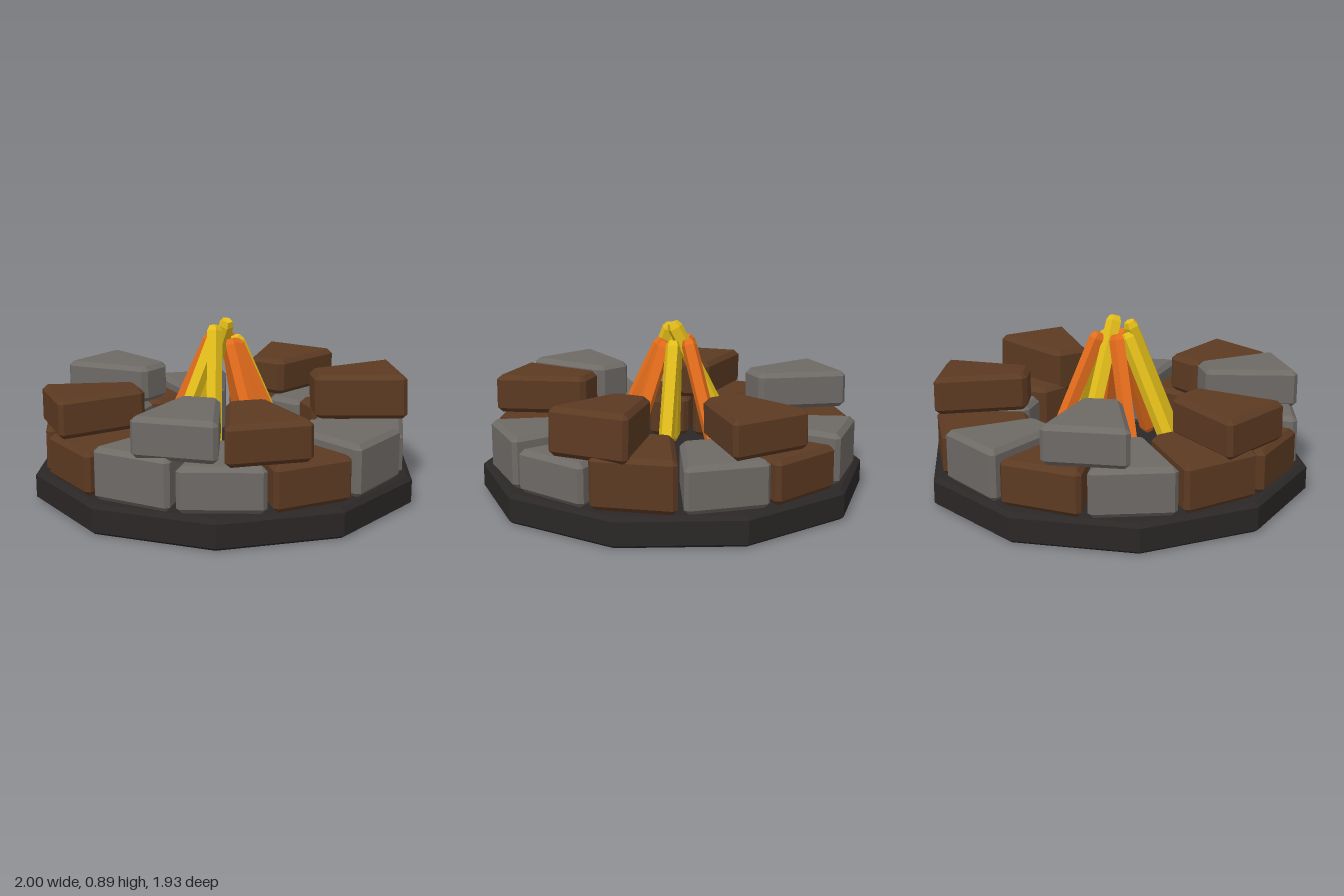
import * as THREE from 'three';

const mat = (color) => new THREE.MeshStandardMaterial({ color, flatShading: true });
const V = (x, y, z) => new THREE.Vector3(x, y, z);

// Faceted solid of revolution from [radius, height] pairs
function facetedLathe(profile, sides, start = 0) {
  const pts = profile.map(([r, y]) => new THREE.Vector2(r, y));
  const geo = new THREE.LatheGeometry(pts, sides, start).toNonIndexed();
  geo.computeVertexNormals();
  return geo;
}

// Chamfered wedge stone facing +z, narrow toward the ring's centre
function stoneGeometry(bottom, top, tilt, roll) {
  const inner = 0.46, outer = 0.925, wi = 0.1, wo = 0.214, mid = 0.69, b = 0.024;
  const corners = [[-wi, -inner], [wi, -inner], [wo, -outer], [-wo, -outer]]
    .map(([x, y]) => new THREE.Vector2(x, y + mid));
  const outline = [];
  corners.forEach((c, i) => {
    // cut each corner
    for (const n of [corners[(i + 3) % 4], corners[(i + 1) % 4]]) {
      outline.push(c.clone().add(n.clone().sub(c).setLength(b)));
    }
  });
  const h = top - bottom;
  const geo = new THREE.ExtrudeGeometry(new THREE.Shape(outline), {
    depth: h - 2 * b, bevelEnabled: true, bevelSegments: 1,
    bevelThickness: b, bevelSize: b, bevelOffset: -b,
  });
  geo.translate(0, 0, b - h / 2);
  geo.rotateX(-Math.PI / 2);
  geo.rotateX(tilt);
  geo.rotateZ(roll);
  geo.translate(0, (bottom + top) / 2, mid);
  return geo;
}

export function createModel() {
  const model = new THREE.Group();
  model.name = 'campfire';
  const grey = mat(0x6e6a66), brown = mat(0x5c3a22);
  const yellow = mat(0xe4be1a), orange = mat(0xe66e1c);

  const add = (parent, name, geo, material) => {
    const mesh = new THREE.Mesh(geo, material);
    mesh.name = name;
    parent.add(mesh);
    return mesh;
  };
  const addGroup = (name) => {
    const g = new THREE.Group();
    g.name = name;
    model.add(g);
    return g;
  };

  // Ten-sided ground slab
  add(model, 'base', facetedLathe(
    [[0, 0], [0.98, 0], [1, 0.015], [1, 0.13], [0.975, 0.15], [0, 0.15]],
    10, THREE.MathUtils.degToRad(-15.3)), mat(0x2b2727));

  // Stone rings: thirteen slots, the upper course shifted by half a slot
  const step = (Math.PI * 2) / 13;
  const addStone = (ring, name, slot, material, bottom, top, tilt = 0, roll = 0) => {
    add(ring, name, stoneGeometry(bottom, top, tilt, roll), material).rotation.y = -slot * step;
  };

  // Lower course: full ring, starting just right of the front
  const lower = addGroup('lowerStones');
  const lowerTops = [0.375, 0.375, 0.41, 0.37, 0.39, 0.39, 0.38, 0.41, 0.37, 0.38, 0.41, 0.365, 0.41];
  const lowerBrown = [0, 3, 4, 6, 8, 10];
  lowerTops.forEach((top, i) => {
    addStone(lower, 'lowerStone', i - 0.5, lowerBrown.includes(i) ? brown : grey, 0.15, top);
  });

  // Upper course: six stones with gaps between
  const upper = addGroup('upperStones');
  [
    [0, brown, 0.375, 0.575, 0, 0.01],
    [1, grey, 0.39, 0.59, 0, 0],
    [3, brown, 0.375, 0.575, 0, 0.02],
    [5, grey, 0.39, 0.585, 0, 0],
    [8, brown, 0.395, 0.59, 0, 0.02],
    [10, brown, 0.37, 0.605, -0.04, 0],
  ].forEach(([slot, m, y0, y1, tilt, roll]) => addStone(upper, 'upperStone', slot, m, y0, y1, tilt, roll));

  // Flames: five-sided sticks leaning together
  const flames = addGroup('flames');
  [
    [yellow, V(-0.125, 0.16, -0.34), V(0.01, 0.88, 0)],
    [yellow, V(0.34, 0.16, -0.065), V(0.055, 0.79, -0.02)],
    [yellow, V(-0.135, 0.16, 0.32), V(-0.065, 0.86, 0.03)],
    [yellow, V(-0.34, 0.16, 0.115), V(-0.06, 0.8, 0.01)],
    [orange, V(0.17, 0.16, -0.31), V(0.03, 0.8, -0.09)],
    [orange, V(0.3, 0.16, 0.16), V(0.04, 0.78, 0.03)],
    [orange, V(0.125, 0.16, 0.33), V(0.02, 0.79, 0.05)],
    [orange, V(-0.33, 0.16, -0.155), V(-0.06, 0.8, -0.05)],
  ].forEach(([m, foot, tip]) => {
    const len = foot.distanceTo(tip), r = 0.042;
    const stick = add(flames, 'flame', facetedLathe(
      [[0, 0], [0.028, 0], [r, 0.03], [r, len - 0.03], [0.028, len], [0, len]], 5), m);
    stick.position.copy(foot);
    stick.quaternion.setFromUnitVectors(V(0, 1, 0), tip.clone().sub(foot).normalize());
  });

  return model;
}
